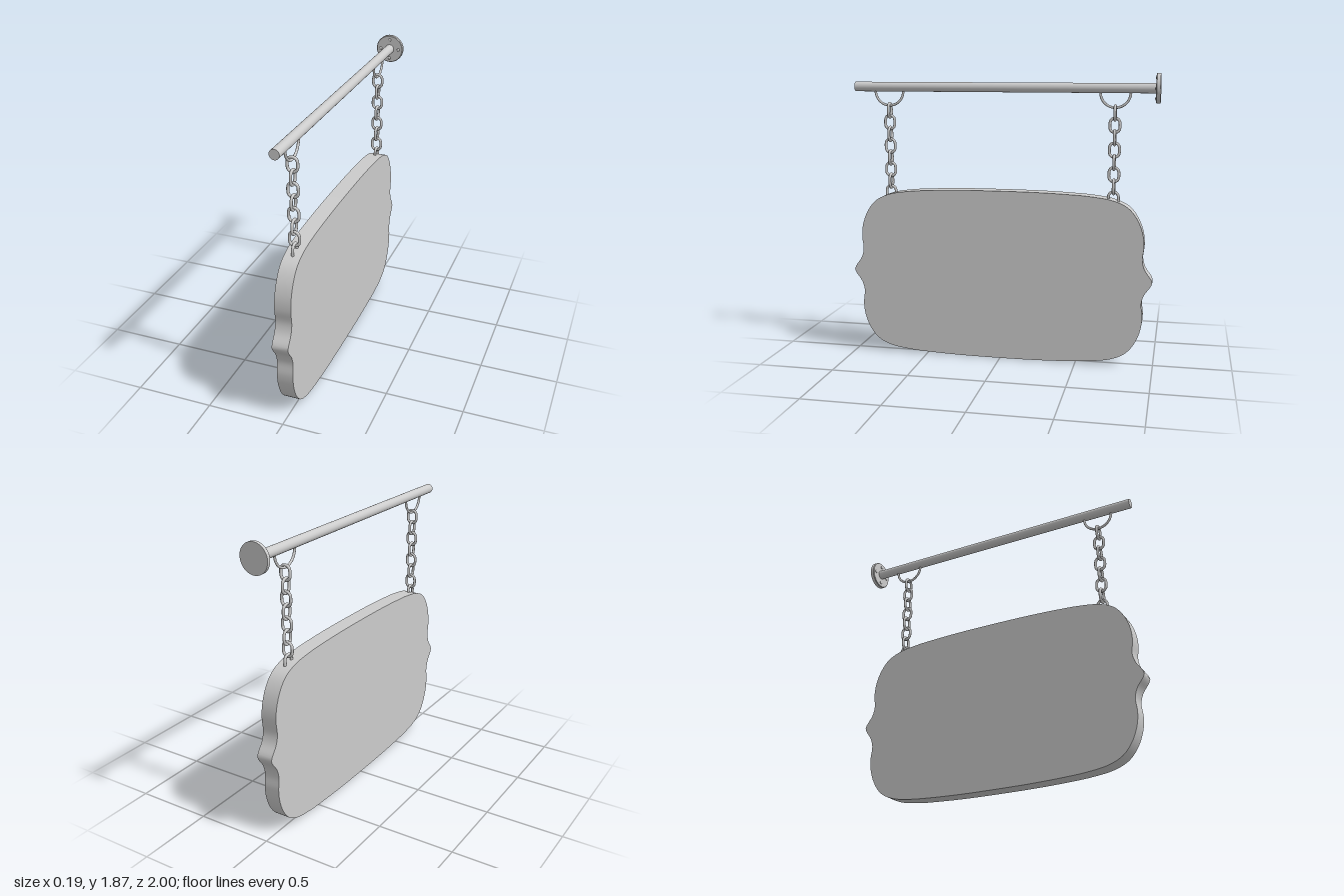
import * as THREE from 'three';
import { toCreasedNormals } from 'three/addons/utils/BufferGeometryUtils.js';

const POLE_Y = 1.78;
const BACK = -1;

export function createModel() {
  const model = new THREE.Group();
  model.name = 'hangingSign';
  const grey = new THREE.MeshStandardMaterial({ color: 0xcccccc });

  function add(parent, name, geometry, x = 0, y = 0, z = 0) {
    const mesh = new THREE.Mesh(geometry, grey);
    mesh.name = name;
    mesh.position.set(x, y, z);
    parent.add(mesh);
    return mesh;
  }

  // Sign board: one quarter of the outline, mirrored both ways
  const quarter = [
    [0, 0.56], [0.25, 0.558], [0.45, 0.551], [0.6, 0.541], [0.74, 0.518],
    [0.83, 0.476], [0.889, 0.405], [0.925, 0.315], [0.935, 0.23],
    [0.927, 0.14], [0.944, 0.08], [0.983, 0.024], [0.992, 0],
  ];
  const lower = quarter.slice(0, -1).reverse().map(([z, y]) => [z, -y]);
  const half = [...quarter, ...lower];
  const otherHalf = half.slice(1, -1).reverse().map(([z, y]) => [-z, y]);
  const outline = new THREE.CatmullRomCurve3(
    [...half, ...otherHalf].map(([z, y]) => new THREE.Vector3(z, y, 0)), true);
  const boardShape = new THREE.Shape(
    outline.getSpacedPoints(280).slice(0, -1).map((p) => new THREE.Vector2(p.x, p.y)));
  const board = new THREE.ExtrudeGeometry(boardShape, { depth: 0.104, bevelEnabled: false });
  board.translate(0, 0, -0.052).rotateY(-Math.PI / 2);
  add(model, 'signBoard', toCreasedNormals(board, 0.7), 0, 0.56, 0.008);

  // Pole
  add(model, 'pole', new THREE.CylinderGeometry(0.031, 0.031, 1.95, 40).rotateX(Math.PI / 2),
    0, POLE_Y, 0.002);

  // Wall plate with a slightly eased front rim
  const plateProfile = [[0, 0], [0.094, 0], [0.094, 0.022], [0.09, 0.027], [0, 0.027]]
    .map(([r, h]) => new THREE.Vector2(r, h));
  const plate = new THREE.LatheGeometry(plateProfile, 56).rotateX(Math.PI / 2);
  add(model, 'wallPlate', toCreasedNormals(plate, 0.5), 0, POLE_Y, BACK);

  // Four domed screws around the pole
  const screw = new THREE.SphereGeometry(0.011, 16, 10).scale(1, 1, 0.6);
  for (let i = 0; i < 4; i++) {
    const a = (i * Math.PI) / 2;
    add(model, 'plateScrew', screw, 0.064 * Math.cos(a), POLE_Y + 0.064 * Math.sin(a), BACK + 0.027);
  }

  // Oval chain link in the x-y plane
  const linkPoints = [];
  for (let i = 0; i < 16; i++) {
    const a = ((i + 0.5) / 16) * Math.PI * 2;
    linkPoints.push(new THREE.Vector3(
      0.031 * Math.cos(a), 0.031 * Math.sin(a) + 0.014 * Math.sign(Math.sin(a)), 0));
  }
  const link = new THREE.TubeGeometry(
    new THREE.CatmullRomCurve3(linkPoints, true), 48, 0.009, 12, true);

  // Half ring under the pole
  const hanger = new THREE.TorusGeometry(0.094, 0.008, 12, 40, Math.PI)
    .rotateZ(Math.PI).rotateY(Math.PI / 2);

  // Hangers and chains, with links turned alternately
  for (const [name, z] of [['front', 0.747], ['back', -0.724]]) {
    const chain = new THREE.Group();
    chain.name = name + 'Chain';
    chain.position.z = z;
    model.add(chain);
    add(chain, 'hangerRing', hanger, 0, 1.753, 0);
    for (let i = 0; i < 8; i++) {
      const mesh = add(chain, 'chainLink', link, 0, 1.627 - i * 0.0775, 0);
      if (i % 2) mesh.rotation.y = Math.PI / 2;
    }
  }

  return model;
}
